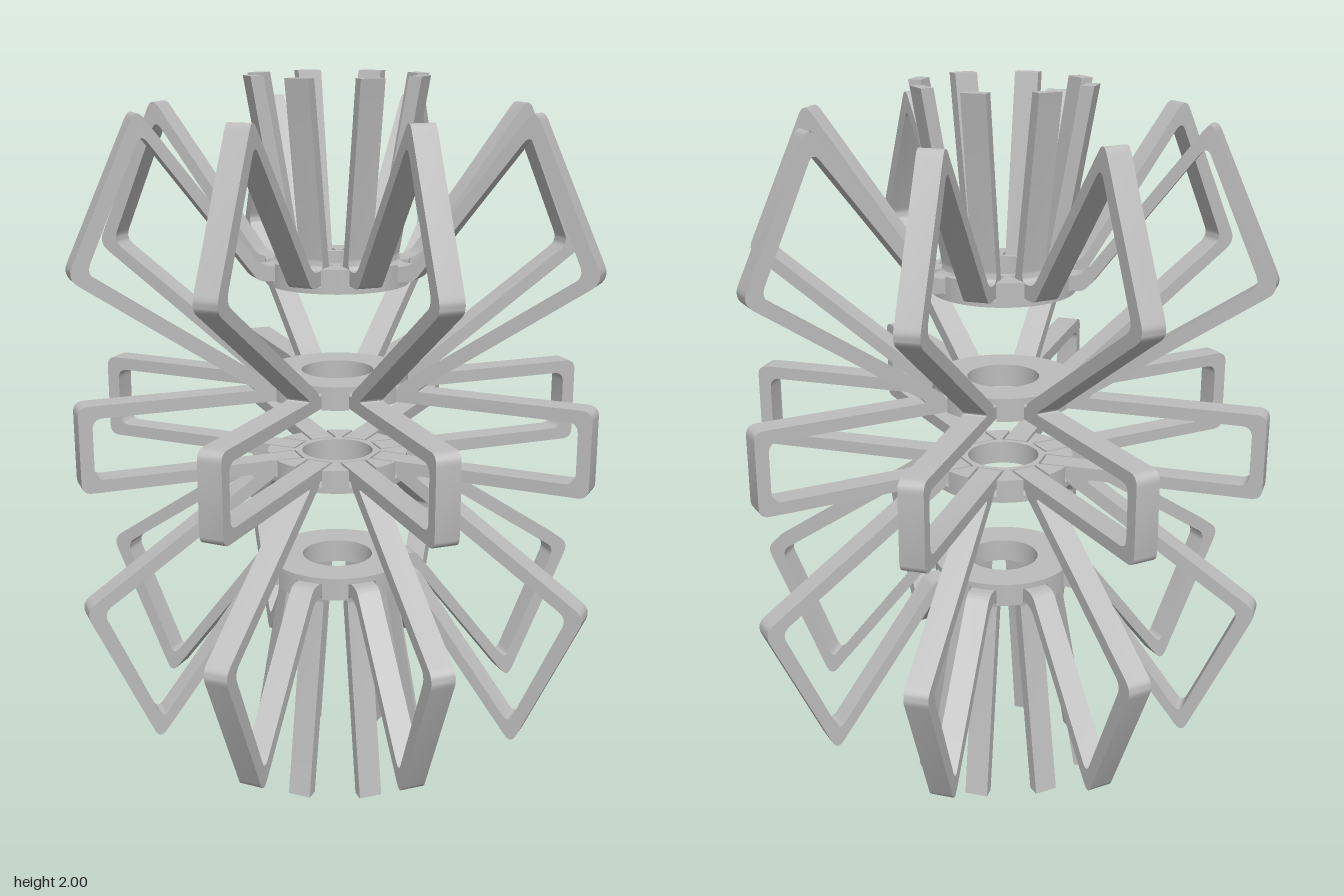
import * as THREE from 'three';
import { toCreasedNormals } from 'three/addons/utils/BufferGeometryUtils.js';

const SECTORS = 8, STEP = Math.PI * 2 / SECTORS;
const RING_R = 0.197, HOLE_R = 0.1, BAND_W = 0.066;
const MID_Y = 1.05; // height of the mirror plane
const grey = new THREE.MeshStandardMaterial({ color: 0xbcbcbc });
grey.name = 'grey';

// Closed shape from [x, y, cornerRadius] points, each corner rounded
function roundedShape(points) {
  const shape = new THREE.Shape(), n = points.length;
  points.forEach(([x, y, r = 0], i) => {
    const p = new THREE.Vector2(x, y);
    const towards = (q) => {
      const d = new THREE.Vector2(q[0], q[1]).sub(p);
      return d.setLength(Math.min(r, d.length() * 0.45)).add(p);
    };
    const a = towards(points[(i + n - 1) % n]), b = towards(points[(i + 1) % n]);
    if (i === 0) shape.moveTo(a.x, a.y); else shape.lineTo(a.x, a.y);
    if (r > 0) shape.quadraticCurveTo(x, y, b.x, b.y);
  });
  shape.closePath();
  return shape;
}

// Serpentine band of one sector, in (radius, height); lower half mirrors the upper
function bandGeometry() {
  const mirror = (pts) => pts.map(([x, y, r]) => [x, 2 * MID_Y - y, r]);
  // Outward side, from the upper crotch down to the middle loop
  const outer = [
    [0.163, 1.508, 0.03], [0.226, 1.508, 0.03],
    [0.552, 1.93, 0.035], [0.746, 1.508, 0.035],
    [0.245, 1.17, 0.02], [0.737, 1.17, 0.03],
  ];
  // Inward side, in the same order
  const inner = [
    [0.12, 1.468], [0.235, 1.468, 0.02],
    [0.542, 1.867, 0.03], [0.696, 1.518, 0.03],
    [0.2, 1.185, 0.01], [0.19, 1.17], [0.12, 1.17], [0.12, 1.135],
    [0.7, 1.135, 0.03],
  ];
  const shape = roundedShape([
    [0.25, 2], ...outer, ...mirror(outer).reverse(), [0.268, 0],
    [0.233, 0], ...mirror(inner), ...inner.slice().reverse(), [0.215, 2],
  ]);
  const geo = new THREE.ExtrudeGeometry(shape, { depth: BAND_W, bevelEnabled: false, curveSegments: 6 });
  geo.translate(0, 0, -BAND_W / 2);
  return toCreasedNormals(geo, 0.6);
}

// Flat annulus; with slots = true it has one open slot per band
function ringGeometry(height, slots) {
  const shape = new THREE.Shape();
  if (slots) {
    const half = 0.04, floor = 0.114, da = Math.asin(half / RING_R);
    for (let k = 0; k < SECTORS; k++) {
      const a = (k + 0.5) * STEP, c = Math.cos(a), s = Math.sin(a);
      for (const side of [-half, half]) {
        const x = floor * c - side * s, y = floor * s + side * c;
        if (k === 0 && side < 0) shape.moveTo(x, y); else shape.lineTo(x, y);
      }
      shape.absarc(0, 0, RING_R, a + da, a + STEP - da, false);
    }
    shape.closePath();
  } else {
    shape.absarc(0, 0, RING_R, 0, Math.PI * 2, false);
  }
  const hole = new THREE.Path();
  hole.absarc(0, 0, HOLE_R, 0, Math.PI * 2, true);
  shape.holes.push(hole);
  const geo = new THREE.ExtrudeGeometry(shape, { depth: height, bevelEnabled: false, curveSegments: slots ? 20 : 48 });
  geo.rotateX(-Math.PI / 2);
  return toCreasedNormals(geo, 0.6);
}

export function createModel() {
  const model = new THREE.Group();
  model.name = 'radialFrame';

  // Bands around the axis
  const band = bandGeometry();
  for (let k = 0; k < SECTORS; k++) {
    const mesh = new THREE.Mesh(band, grey);
    mesh.name = 'loopBand';
    mesh.rotation.y = (k + 0.5) * STEP;
    model.add(mesh);
  }

  // Slotted rings: solid plate on one side, slots on the other
  const BASE = 0.017, SLOT = 0.048;
  const plate = ringGeometry(BASE, false), slotted = ringGeometry(SLOT, true);
  const addRing = (name, y, flipped) => {
    const ring = new THREE.Group();
    ring.name = name;
    const base = new THREE.Mesh(plate, grey);
    base.name = 'ringPlate';
    const top = new THREE.Mesh(slotted, grey);
    top.name = 'ringSlots';
    top.position.y = BASE;
    ring.add(base, top);
    ring.position.y = y;
    if (flipped) ring.rotation.x = Math.PI;
    model.add(ring);
  };
  addRing('topRing', 1.45, false);
  addRing('upperMiddleRing', 1.2, true);
  addRing('lowerMiddleRing', 0.9, false);
  addRing('bottomRing', 0.65, true);
  return model;
}
